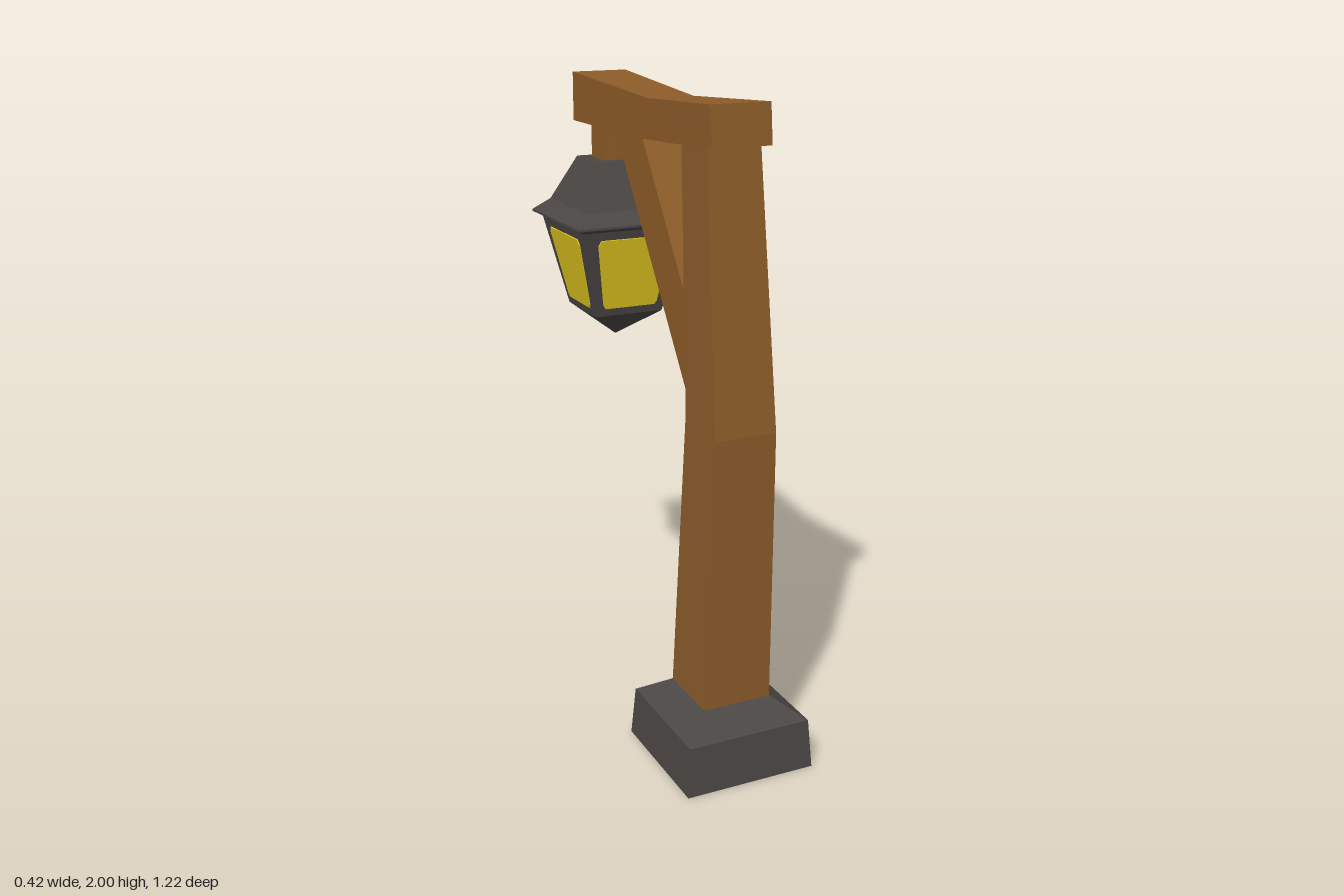
import * as THREE from 'three';

const wood = new THREE.MeshStandardMaterial({ color: 0x8d5c29 });
wood.name = 'wood';
const iron = new THREE.MeshStandardMaterial({ color: 0x4b4745 });
iron.name = 'dark iron';
const shell = new THREE.MeshStandardMaterial({ color: 0x4b4745, side: THREE.DoubleSide });
shell.name = 'dark iron shell';
const glass = new THREE.MeshStandardMaterial({ color: 0xe4cb20 });
glass.name = 'yellow glass';

// Four-cornered cross-section: left and right x, then front and back edges as [y, z]
const section = (xl, xr, [yf, zf], [yb, zb]) => [
  [xl, yf, zf], [xr, yf, zf], [xr, yb, zb], [xl, yb, zb],
];

// Level square cross-section centred on the y axis
const square = (y, h) => section(-h, h, [y, h], [y, -h]);

// Faceted solid through a row of cross-sections
function loft(name, material, rings, capStart = true, capEnd = true) {
  const pos = [];
  const quad = (a, b, c, d) => pos.push(...a, ...b, ...c, ...a, ...c, ...d);
  for (let r = 0; r < rings.length - 1; r++) {
    for (let i = 0; i < 4; i++) {
      const j = (i + 1) % 4;
      quad(rings[r][i], rings[r][j], rings[r + 1][j], rings[r + 1][i]);
    }
  }
  if (capStart) quad(...[...rings[0]].reverse());
  if (capEnd) quad(...rings[rings.length - 1]);
  const geo = new THREE.BufferGeometry();
  geo.setAttribute('position', new THREE.Float32BufferAttribute(pos, 3));
  geo.computeVertexNormals();
  const mesh = new THREE.Mesh(geo, material);
  mesh.name = name;
  return mesh;
}

function createLantern() {
  const lantern = new THREE.Group();
  lantern.name = 'lantern';
  lantern.add(loft('hanger', wood, [square(1.73, 0.053), square(1.87, 0.053)]));
  lantern.add(loft('lanternRoof', iron, [
    square(1.535, 0.18), square(1.548, 0.207), square(1.555, 0.207),
    square(1.595, 0.16), square(1.74, 0.09),
  ]));
  lantern.add(loft('lanternBody', iron, [
    square(1.155, 0.002), square(1.247, 0.117), square(1.54, 0.182),
  ]));

  // Panes with clipped corners, leaning with the body walls
  const tilt = Math.atan2(0.065, 0.293);
  const pane = new THREE.Shape([
    [-0.086, 0], [0.086, 0], [0.094, 0.012], [0.127, 0.222], [0.118, 0.24],
    [-0.118, 0.24], [-0.127, 0.222], [-0.094, 0.012],
  ].map(([x, y]) => new THREE.Vector2(x, y)));
  const paneGeo = new THREE.ExtrudeGeometry(pane, { depth: 0.005, bevelEnabled: false });
  paneGeo.rotateX(tilt);
  paneGeo.translate(0, 1.274, 0.117 + 0.027 * Math.tan(tilt) - 0.001);
  for (let i = 0; i < 4; i++) {
    const mesh = new THREE.Mesh(paneGeo, glass);
    mesh.name = 'windowPane';
    mesh.rotation.y = (i * Math.PI) / 2;
    lantern.add(mesh);
  }
  lantern.position.set(0, -0.006, -0.4);
  return lantern;
}

export function createModel() {
  const model = new THREE.Group();
  model.name = 'lampPost';

  // Hollow foot, open underneath
  const foot = loft('foot', shell, [
    square(0, 0.209), square(0.155, 0.198), square(0.216, 0.11),
  ], false, false);
  foot.position.z = 0.4;
  model.add(foot);

  // Post bends backwards above the middle
  model.add(loft('post', wood, [
    section(-0.11, 0.11, [0.214, 0.51], [0.214, 0.29]),
    section(-0.096, 0.098, [1.07, 0.535], [1.1, 0.345]),
    section(-0.082, 0.082, [1.9, 0.438], [1.88, 0.28]),
  ]));

  // Sagging crossbeam, narrower in the middle
  model.add(loft('crossbeam', wood, [
    section(-0.092, 0.092, [1.993, 0.475], [1.877, 0.487]),
    section(-0.086, 0.062, [1.97, 0.06], [1.848, 0]),
    section(-0.092, 0.092, [2, -0.51], [1.846, -0.51]),
  ]));

  // Diagonal brace between post and crossbeam, sunk into both
  model.add(loft('brace', wood, [
    section(-0.074, 0.07, [1.385, 0.328], [1.085, 0.35]),
    section(-0.074, 0.07, [1.864, -0.015], [1.864, -0.215]),
  ]));

  model.add(createLantern());
  return model;
}
